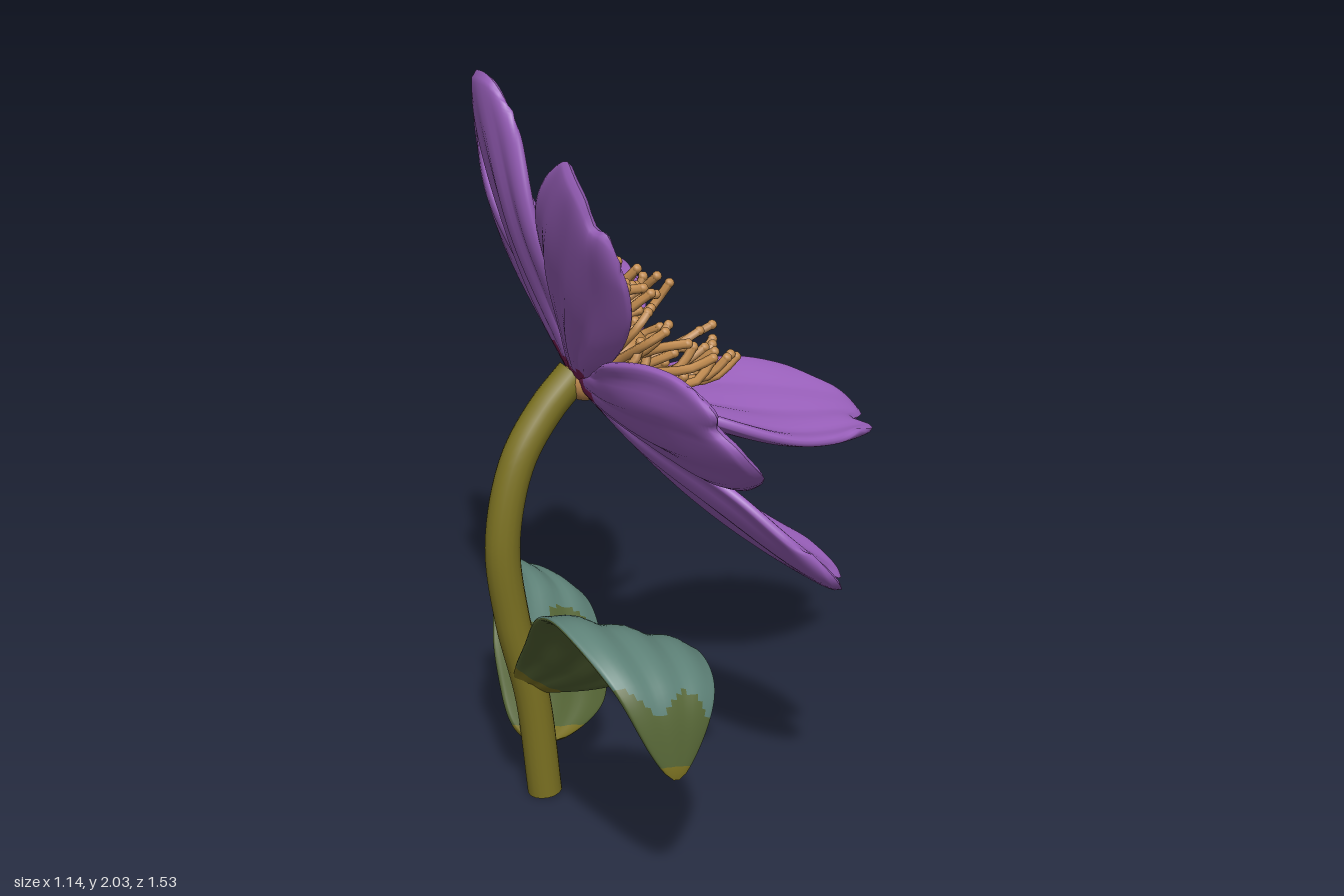
import * as THREE from 'three';

const V = (x, y, z) => new THREE.Vector3(x, y, z);
const mat = (name, color) => {
  const m = new THREE.MeshStandardMaterial({ color });
  m.name = name;
  return m;
};

// Thick rounded sheet around a mid surface point(u, v); pick(u, v, top) gives the material index
function sheet(point, thick, rows, cols, pick) {
  const pos = [], idx = [], geo = new THREE.BufferGeometry();
  const n = cols * 2, e = 0.004, buckets = [[], [], []];
  for (let i = 0; i <= rows; i++) {
    const u = i / rows;
    const t = thick * Math.sqrt(Math.max(0, 1 - Math.pow(u, 20)));
    for (let k = 0; k < n; k++) {
      const a = (k / n) * Math.PI * 2, v = Math.cos(a), s = Math.sin(a);
      const p = point(u, v);
      const du = point(u + e, v).sub(point(u - e, v));
      const dv = point(u, v + e).sub(point(u, v - e));
      const normal = du.cross(dv).normalize();
      p.addScaledVector(normal, t * Math.sign(s) * Math.sqrt(Math.abs(s)));
      pos.push(p.x, p.y, p.z);
    }
  }
  for (let i = 0; i < rows; i++) for (let k = 0; k < n; k++) {
    const k2 = (k + 1) % n, a = i * n + k, b = i * n + k2, c = a + n, d = b + n;
    const ang = ((k + 0.5) / n) * Math.PI * 2;
    buckets[pick((i + 0.5) / rows, Math.cos(ang), Math.sin(ang) > 0)].push(a, b, d, a, d, c);
  }
  buckets.forEach((f, m) => {
    if (f.length) geo.addGroup(idx.length, f.length, m);
    for (const q of f) idx.push(q);
  });
  geo.setAttribute('position', new THREE.Float32BufferAttribute(pos, 3));
  geo.setIndex(idx);
  geo.computeVertexNormals();
  return geo;
}

export function createModel() {
  const root = new THREE.Group();
  const purple = mat('petalPurple', 0x9a60bc), magenta = mat('petalBaseMagenta', 0x7a2054);
  const orange = mat('stamenOrange', 0xc08a4e), olive = mat('stemOlive', 0x7c7222);
  const green = mat('leafGreen', 0x566636), teal = mat('leafTeal', 0x5e8278);
  const add = (name, geo, material, parent = root) => {
    const m = new THREE.Mesh(geo, material);
    m.name = name;
    parent.add(m);
    return m;
  };

  // Stem with a flat foot
  const stemPath = new THREE.CatmullRomCurve3([
    V(-0.265, 0, 0.12), V(-0.29, 0.3, 0.145), V(-0.335, 0.55, 0.18), V(-0.352, 0.78, 0.2),
    V(-0.315, 1.0, 0.17), V(-0.25, 1.13, 0.115), V(-0.18, 1.22, 0.065)]);
  add('stem', new THREE.TubeGeometry(stemPath, 40, 0.048, 16), olive);
  const foot = add('stemFoot', new THREE.CircleGeometry(0.048, 16), olive);
  foot.rotation.x = Math.PI / 2;
  foot.position.set(-0.265, 0.002, 0.12);

  // Petals: tip position, half width, place of the notch across the end, optional sideways direction
  const axis = V(0.79, 0.55, -0.28).normalize();
  const centre = V(-0.16, 1.2, 0.06);
  const petals = [
    { tip: V(-0.43, 2.02, 0.04), w: 0.185, notch: -0.5, side: V(0.2, 0.03, 0.42) },
    { tip: V(-0.06, 1.87, 0.57), w: 0.21, notch: 0.45 },
    { tip: V(0.36, 1.3, 0.76), w: 0.2, notch: -0.4 },
    { tip: V(0.56, 0.73, 0.24), w: 0.235, notch: 0.3 },
    { tip: V(0.54, 0.94, -0.49), w: 0.205, notch: -0.35, side: V(-0.34, 0.16, -0.36) },
    { tip: V(-0.28, 1.33, -0.77), w: 0.19, notch: -0.4, side: V(-0.32, 0.27, 0.04) },
    { tip: V(-0.55, 1.75, -0.53), w: 0.2, notch: -0.35 },
  ];
  const corolla = new THREE.Group();
  corolla.name = 'petals';
  root.add(corolla);
  const widths = new THREE.SplineCurve([[0, 0.2], [0.2, 0.45], [0.45, 0.85], [0.68, 1], [0.88, 0.92], [1, 0.72]]
    .map(([x, y]) => new THREE.Vector2(x, y)));
  petals.forEach(({ tip, w, notch, side }, j) => {
    const along = tip.clone().sub(centre), len = along.length();
    along.normalize();
    side = (side || axis.clone().cross(along)).clone();
    side.addScaledVector(along, -side.dot(along)).normalize();
    const up = along.clone().cross(side).normalize();
    const point = (u, v) => {
      // rounded end with one clear notch
      const end = 0.13 * v ** 4 + 0.075 * Math.exp(-(((v - notch) / 0.22) ** 2));
      const a = len * (0.03 + 0.97 * u) * (1 - end * Math.abs(u) ** 5);
      const c = Math.min(1, Math.max(0, u));
      const half = w * widths.getPoint(c).y;
      const lift = 0.2 * half * v * v - 0.035 * Math.sin(Math.PI * c)
        + 0.006 * Math.sin(Math.PI * c) * Math.cos(v * 11 + j)
        + 0.01 * Math.sin(u * 9 + j * 2) * v;
      return centre.clone().addScaledVector(along, a).addScaledVector(side, half * v).addScaledVector(up, lift);
    };
    const pick = (u, v, top) => (u + 0.035 * Math.sin(v * 5 + j * 2) < (top ? 0.21 : 0.1) ? 1 : 0);
    add('petal' + (j + 1), sheet(point, 0.023, 56, 22, pick), [purple, magenta], corolla);
  });

  // Flower heart
  const heart = add('heart', new THREE.SphereGeometry(0.098, 24, 16), orange);
  heart.position.copy(centre).addScaledVector(axis, 0.1).add(V(0, 0, -0.015));
  const receptacle = add('receptacle', new THREE.SphereGeometry(0.06, 16, 12), orange);
  receptacle.position.copy(centre).addScaledVector(axis, 0.01);

  // Stamens: irregular curved filaments with blunt ends
  let seed = 7;
  const rnd = () => (seed = (seed * 16807) % 2147483647) / 2147483647;
  const e1 = V(0, 1, 0).addScaledVector(axis, -axis.y).normalize();
  const e2 = axis.clone().cross(e1);
  const stamens = new THREE.Group();
  stamens.name = 'stamens';
  root.add(stamens);
  const blunt = new THREE.SphereGeometry(0.0135, 8, 6);
  const count = 60;
  for (let i = 0; i < count; i++) {
    const at = (r, h, a) => centre.clone().addScaledVector(axis, h + 0.02)
      .addScaledVector(e1, r * Math.cos(a)).addScaledVector(e2, r * Math.sin(a));
    const a = (i / count) * Math.PI * 2 + 0.15 * rnd();
    // upper filaments splay outwards, lower ones reach forwards
    const r = (0.13 + 0.095 * rnd()) * (1 + 0.12 * Math.cos(a));
    const h = (0.15 + 0.16 * rnd()) * (1 - 0.15 * Math.cos(a)), bend = (rnd() - 0.5) * 0.6;
    const path = new THREE.CatmullRomCurve3([
      at(0.05, 0.01, a), at(0.1 + 0.03 * rnd(), h * 0.4, a), at(r, h * 0.78, a + bend * 0.3),
      at(r * (0.85 + 0.25 * rnd()), h, a + bend)]);
    add('filament', new THREE.TubeGeometry(path, 10, 0.0125, 6), orange, stamens);
    const end = add('filamentEnd', blunt, orange, stamens);
    end.position.copy(path.getPoint(1));
  }

  // Leaves: arched midrib, half width, where it is broadest, sideways direction at base and tip,
  // extent of the teal upper face, start of the olive tip
  const leaves = [
    { name: 'upperLeaf', w: 0.2, peak: 1.05, side: V(0.7, -0.6, -0.38), endSide: V(0.75, -0.15, -0.58),
      teal: [0.43, 0.83], tip: 0.975,
      rib: [V(-0.31, 0.34, 0.16), V(-0.17, 0.45, 0.25), V(-0.05, 0.61, 0.38), V(0.05, 0.69, 0.53),
        V(0.16, 0.62, 0.67), V(0.2, 0.4, 0.725)] },
    { name: 'lowerLeaf', w: 0.175, peak: 0.75, side: V(-0.76, 0.22, 0.6), endSide: V(-0.6, 0.5, 0.6),
      teal: [0.5, 1.1], tip: 1,
      rib: [V(-0.265, 0.14, 0.11), V(-0.255, 0.23, 0.03), V(-0.28, 0.37, -0.04), V(-0.32, 0.5, -0.13),
        V(-0.41, 0.52, -0.23), V(-0.51, 0.43, -0.35)] },
  ];
  for (const leaf of leaves) {
    const rib = new THREE.CatmullRomCurve3(leaf.rib);
    const point = (u, v) => {
      const c = Math.min(1, Math.max(0, u));
      const swell = Math.pow(Math.sin(Math.PI * Math.pow(c, leaf.peak)), 0.75);
      const half = leaf.w * (0.1 * (1 - c) + 0.04 + 0.96 * swell);
      const p = rib.getPoint(c).addScaledVector(rib.getTangent(c), (u - c) * 0.8);
      p.addScaledVector(leaf.side.clone().lerp(leaf.endSide, c).normalize(), half * v);
      p.y += half * (0.15 * (0.45 - c) * v * v) + 0.006 * Math.cos(v * 10) * Math.sin(Math.PI * c);
      return p;
    };
    const pick = (u, v, top) => {
      if (u < 0.08 || u > leaf.tip) return 2;
      const w = u + 0.03 * Math.sin(v * 5);
      return top && w > leaf.teal[0] && w < leaf.teal[1] ? 1 : 0;
    };
    add(leaf.name, sheet(point, 0.015, 64, 24, pick), [green, teal, olive]);
  }
  return root;
}
